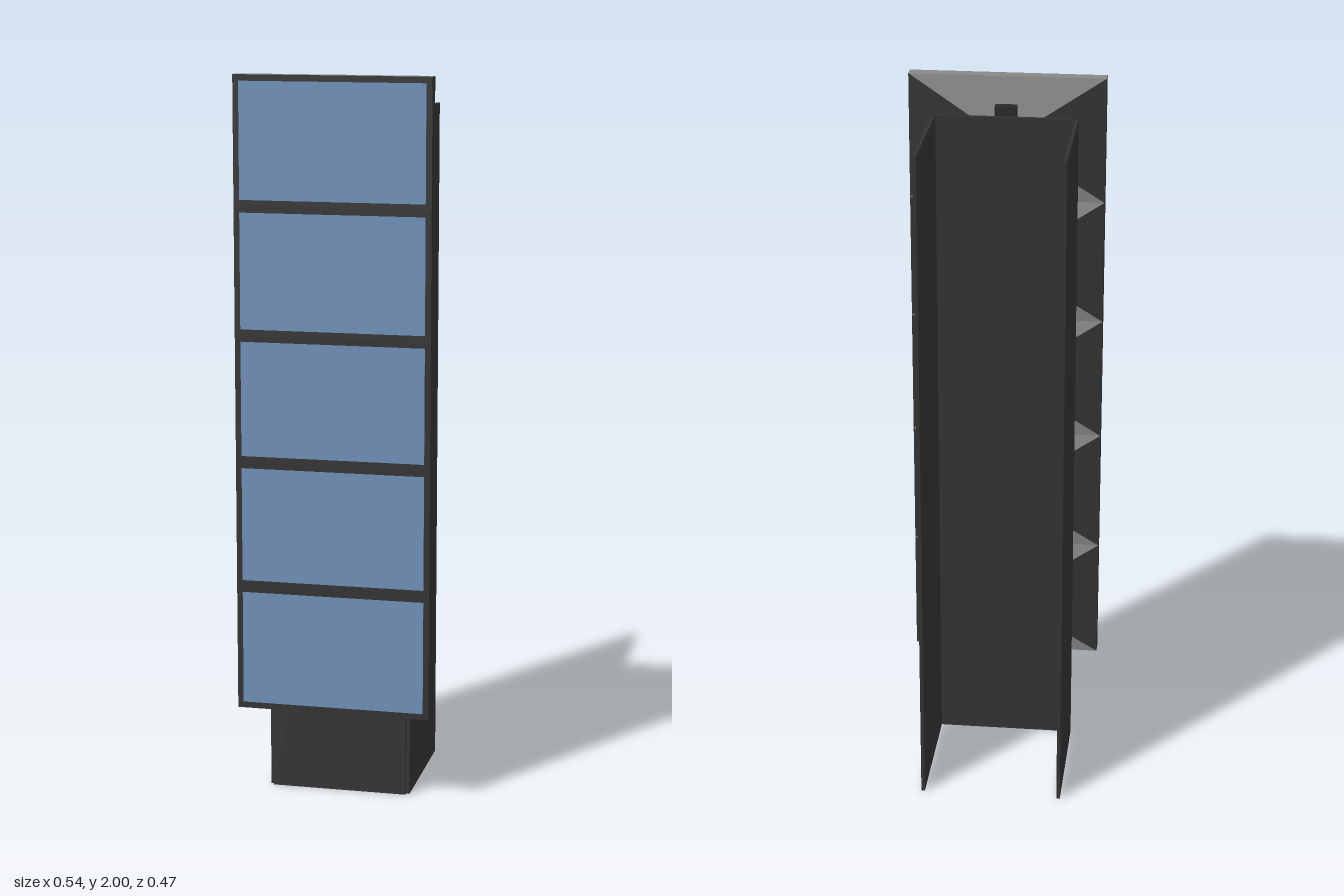
import * as THREE from 'three';

const dark = new THREE.MeshStandardMaterial({ color: 0x333333 });
const darker = new THREE.MeshStandardMaterial({ color: 0x2a2a2a });
const grey = new THREE.MeshStandardMaterial({ color: 0x888888 });
const blue = new THREE.MeshStandardMaterial({ color: 0x7090b8 });

// Box given by its lower and upper limits on each axis
function block(name, [x0, x1], [y0, y1], [z0, z1], material) {
  const mesh = new THREE.Mesh(new THREE.BoxGeometry(x1 - x0, y1 - y0, z1 - z0), material);
  mesh.position.set((x0 + x1) / 2, (y0 + y1) / 2, (z0 + z1) / 2);
  mesh.name = name;
  return mesh;
}

// Display housing: a shallow box whose back tapers to a small plate
function housingGeometry(width, height, zFront, zRim, zBack, taper) {
  const box = new THREE.BoxGeometry(width, height, 2, 1, 1, 2);
  const p = box.attributes.position;
  for (let i = 0; i < p.count; i++) {
    const layer = Math.round(p.getZ(i));
    const s = layer < 0 ? taper : 1;
    p.setXYZ(i, p.getX(i) * s, p.getY(i) * s, [zBack, zRim, zFront][layer + 1]);
  }
  const geometry = box.toNonIndexed();
  geometry.computeVertexNormals();
  return geometry;
}

export function createModel() {
  const model = new THREE.Group();
  model.name = 'displayTower';

  // U-shaped channel, open at the back
  const channel = new THREE.Group();
  channel.name = 'channel';
  channel.add(block('channelWeb', [-0.19, 0.19], [0, 1.9], [0.143, 0.153], dark));
  channel.add(block('leftFlange', [0.19, 0.2], [0, 1.9], [-0.235, 0.143], dark));
  channel.add(block('rightFlange', [-0.2, -0.19], [0, 1.9], [-0.235, 0.143], dark));
  model.add(channel);

  // Rail carrying the displays
  model.add(block('mountingRail', [-0.03, 0.03], [0.27, 1.925], [0.153, 0.185], darker));

  // Stack of five displays; tops and undersides are grey
  const height = 0.35;
  const housing = housingGeometry(0.54, height, 0.234, 0.197, 0.18, 0.3);
  for (let i = 0; i < 5; i++) {
    const display = new THREE.Group();
    display.name = `display${i + 1}`;
    const shell = new THREE.Mesh(housing, [dark, dark, grey, grey, dark, dark]);
    shell.name = 'housing';
    display.add(shell, block('screen', [-0.254, 0.254], [-0.158, 0.158], [0.23, 0.235], blue));
    display.position.y = 0.25 + height * (i + 0.5);
    model.add(display);
  }
  return model;
}
